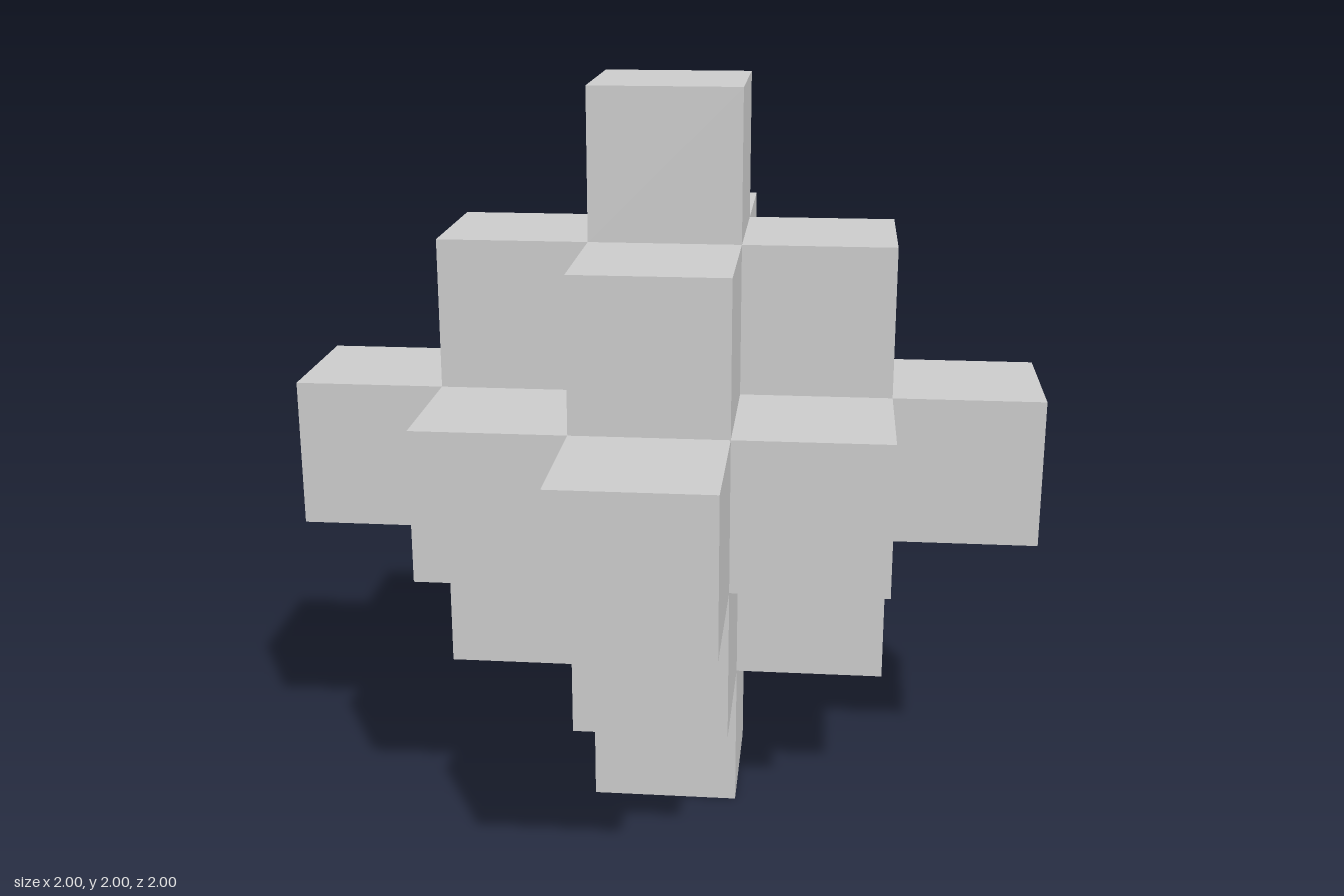
import * as THREE from 'three';
import { mergeGeometries } from 'three/addons/utils/BufferGeometryUtils.js';

const CELL = 0.4;   // edge of one cube
const REACH = 2;    // cubes from the centre to each tip

// A cube is filled when its steps from the centre do not exceed the reach
const filled = (i, j, k) => Math.abs(i) + Math.abs(j) + Math.abs(k) <= REACH;

const DIRECTIONS = [
  [1, 0, 0], [-1, 0, 0], [0, 1, 0], [0, -1, 0], [0, 0, 1], [0, 0, -1],
].map((d) => new THREE.Vector3(...d));
const FORWARD = new THREE.Vector3(0, 0, 1);

// One square face of a cube, turned outward along dir
function cubeFace(centre, dir) {
  const turn = dir.z === -1
    ? new THREE.Quaternion().setFromAxisAngle(new THREE.Vector3(0, 1, 0), Math.PI)
    : new THREE.Quaternion().setFromUnitVectors(FORWARD, dir);
  const pos = centre.clone().addScaledVector(dir, 0.5).multiplyScalar(CELL);
  return new THREE.PlaneGeometry(CELL, CELL).applyQuaternion(turn).translate(pos.x, pos.y, pos.z);
}

// All exposed faces of one horizontal layer of cubes
function layerGeometry(j) {
  const faces = [];
  for (let i = -REACH; i <= REACH; i++) {
    for (let k = -REACH; k <= REACH; k++) {
      if (!filled(i, j, k)) continue;
      const centre = new THREE.Vector3(i, j, k);
      for (const d of DIRECTIONS) {
        if (!filled(i + d.x, j + d.y, k + d.z)) faces.push(cubeFace(centre, d));
      }
    }
  }
  return mergeGeometries(faces);
}

export function createModel() {
  const group = new THREE.Group();
  group.name = 'steppedCubeOctahedron';
  const material = new THREE.MeshStandardMaterial({ color: 0xcccccc, flatShading: true });

  // Layers from the bottom tip to the top tip
  const names = ['bottomTip', 'lowerCross', 'middleDiamond', 'upperCross', 'topTip'];
  names.forEach((name, n) => {
    const layer = new THREE.Mesh(layerGeometry(n - REACH), material);
    layer.name = name;
    layer.position.y = 1;
    group.add(layer);
  });
  return group;
}
